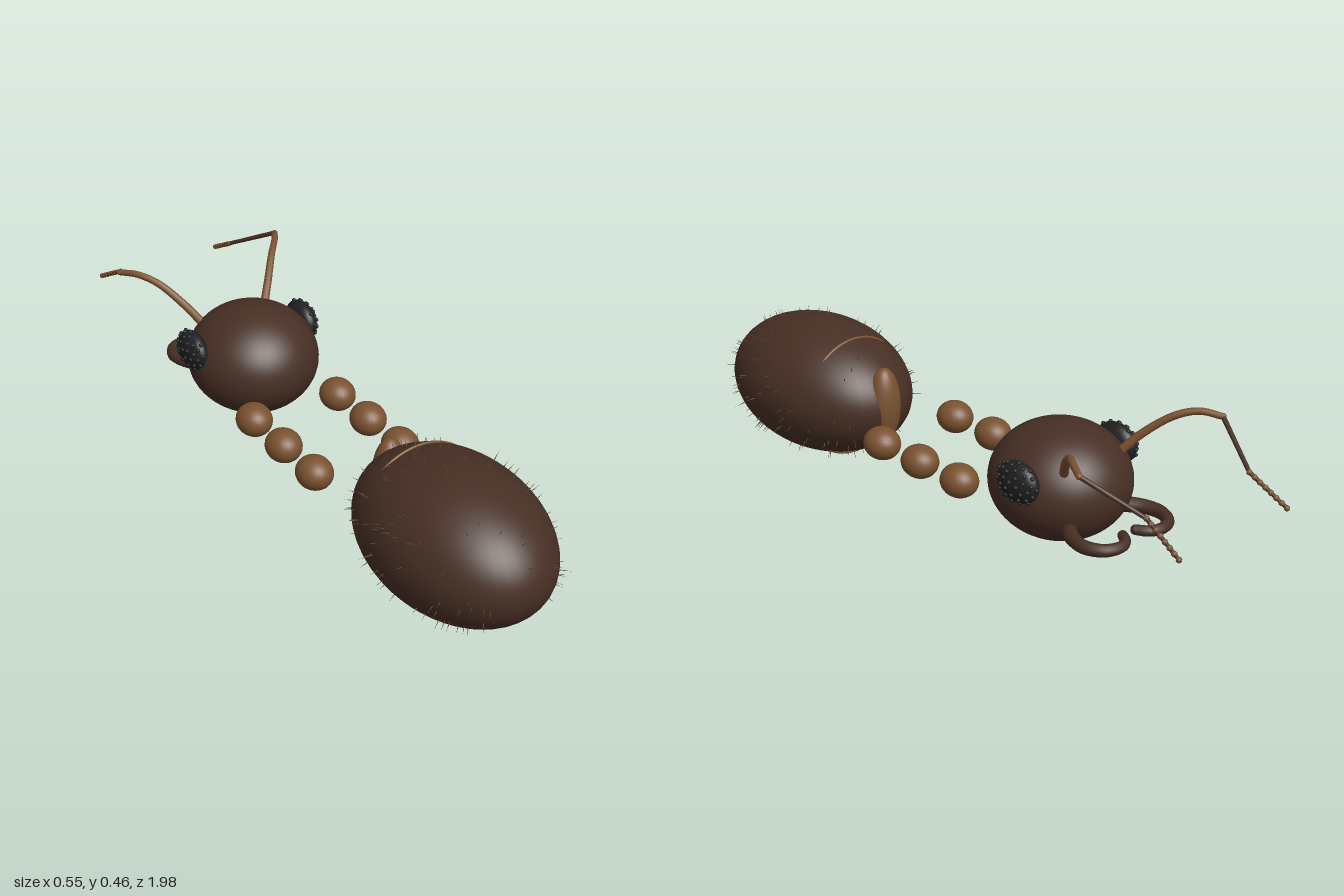
import * as THREE from 'three';

const shell = new THREE.MeshStandardMaterial({ color: 0x472f24 });
const tan = new THREE.MeshStandardMaterial({ color: 0x7a5230 });
const black = new THREE.MeshStandardMaterial({ color: 0x1f2021 });
const hair = new THREE.MeshStandardMaterial({ color: 0x5c4b30 });
shell.name = 'dark brown shell';
tan.name = 'light brown joints';
black.name = 'black eyes';
hair.name = 'bristles';

const V = (x, y, z) => new THREE.Vector3(x, y, z);

function add(parent, name, geometry, material) {
  const mesh = new THREE.Mesh(geometry, material);
  mesh.name = name;
  parent.add(mesh);
  return mesh;
}

function ellipsoid(parent, name, c, r, material, detail = 32) {
  const g = new THREE.SphereGeometry(1, detail, Math.round(detail * 0.75));
  g.scale(...r);
  g.translate(...c);
  return add(parent, name, g, material);
}

// Tube along a smooth curve, narrowing from r0 to r1, with rounded ends
function taperedTube(parent, name, points, r0, r1, material) {
  const curve = new THREE.CatmullRomCurve3(points);
  const n = 32, sides = 12;
  const g = new THREE.TubeGeometry(curve, n, 1, sides);
  const p = g.attributes.position, v = V(0, 0, 0);
  for (let i = 0; i < p.count; i++) {
    const t = Math.floor(i / (sides + 1)) / n;
    const c = curve.getPointAt(t);
    v.fromBufferAttribute(p, i).sub(c).multiplyScalar(r0 + (r1 - r0) * t).add(c);
    p.setXYZ(i, v.x, v.y, v.z);
  }
  add(parent, name, g, material);
  ellipsoid(parent, name + 'Start', points[0].toArray(), [r0, r0, r0], material, 12);
  ellipsoid(parent, name + 'End', points.at(-1).toArray(), [r1, r1, r1], material, 12);
}

function seeded(seed) {
  return () => (seed = (seed * 16807) % 2147483647) / 2147483647;
}

export function createModel() {
  const ant = new THREE.Group();
  ant.name = 'ant';

  // Abdomen, waist node and segment ring
  const abdomen = new THREE.Group();
  abdomen.name = 'abdomen';
  ant.add(abdomen);
  const c = [0, 0.205, 0.645], r = [0.228, 0.203, 0.333];
  ellipsoid(abdomen, 'abdomenShell', c, r, shell, 48);
  ellipsoid(abdomen, 'waistNode', [0, 0.22, 0.347], [0.05, 0.115, 0.047], tan);
  const ring = add(abdomen, 'segmentRing', new THREE.TorusGeometry(0.182, 0.004, 8, 64), tan);
  ring.position.set(0, 0.205, 0.485);

  // Bristles standing out along the abdomen's surface normals
  const rand = seeded(4711);
  const bristles = new THREE.InstancedMesh(new THREE.ConeGeometry(1, 1, 5), hair, 1);
  const bristleGeometry = bristles.geometry;
  for (let i = 0; i < 190; i++) {
    const u = rand() * 1.8 - 0.85, a = rand() * Math.PI * 2, s = Math.sqrt(1 - u * u || 0);
    const d = V(s * Math.cos(a), s * Math.sin(a), u);
    if (!(Math.abs(u) < 0.97)) continue;
    const normal = V(d.x / r[0], d.y / r[1], d.z / r[2]).normalize();
    const len = 0.02 + rand() * 0.016;
    const b = add(abdomen, 'bristle', bristleGeometry, hair);
    b.scale.set(0.0015, len, 0.0015);
    b.quaternion.setFromUnitVectors(V(0, 1, 0), normal);
    b.position.set(c[0] + d.x * r[0], c[1] + d.y * r[1], c[2] + d.z * r[2]);
    b.position.addScaledVector(normal, len * 0.4);
    // Keep hairs above the ground
    if (b.position.y + normal.y * len * 0.5 < 0.001) abdomen.remove(b);
  }

  // Head
  const head = new THREE.Group();
  head.name = 'head';
  ant.add(head);
  ellipsoid(head, 'headShell', [0, 0.243, -0.39], [0.194, 0.163, 0.2], shell, 48);

  for (const side of [-1, 1]) {
    const label = side > 0 ? 'left' : 'right';

    // Row of leg joints
    for (const z of [-0.14, 0.025, 0.19]) {
      ellipsoid(ant, label + 'LegJoint', [side * 0.14, 0.19, z], [0.052, 0.048, 0.058], tan, 24);
    }

    // Compound eye with small facets
    const e = [side * 0.184, 0.3, -0.418], er = [0.035, 0.058, 0.071];
    ellipsoid(head, label + 'Eye', e, er, black);
    for (let i = 0; i < 40; i++) {
      const h = 1 - (i + 0.5) / 40, s = Math.sqrt(1 - h * h), a = i * 2.39996;
      const p = [e[0] + side * h * er[0], e[1] + s * Math.cos(a) * er[1], e[2] + s * Math.sin(a) * er[2]];
      ellipsoid(head, label + 'EyeFacet', p, [0.006, 0.006, 0.006], black, 8);
    }

    // Curled mandible
    const jaw = [[0.1, 0.18, -0.52], [0.137, 0.178, -0.575], [0.146, 0.176, -0.625], [0.12, 0.175, -0.672],
      [0.075, 0.175, -0.686], [0.043, 0.175, -0.672], [0.024, 0.175, -0.645]];
    taperedTube(head, label + 'Mandible', jaw.map(([x, y, z]) => V(side * x, y, z)), 0.022, 0.014, shell);

    // Antenna: curved base, thin bent whip and beaded tip
    const base = [[0.1, 0.32, -0.5], [0.142, 0.38, -0.545], [0.195, 0.438, -0.61], [0.235, 0.456, -0.66], [0.267, 0.449, -0.715]];
    taperedTube(head, label + 'AntennaBase', base.map(([x, y, z]) => V(side * x, y, z)), 0.013, 0.009, tan);
    const elbow = V(side * 0.267, 0.449, -0.715);
    const bend = V(side * 0.192, 0.368, -0.872);
    const tip = V(side * 0.203, 0.306, -0.99);
    taperedTube(head, label + 'AntennaWhip', [elbow, elbow.clone().lerp(bend, 0.5), bend], 0.007, 0.006, shell);
    taperedTube(head, label + 'AntennaTip', [bend, bend.clone().lerp(tip, 0.5), tip], 0.006, 0.005, shell);
    for (let i = 0; i < 8; i++) {
      const p = bend.clone().lerp(tip, i / 7).toArray();
      ellipsoid(head, label + 'AntennaBead', p, [0.008, 0.008, 0.008], tan, 10);
    }
  }
  return ant;
}
